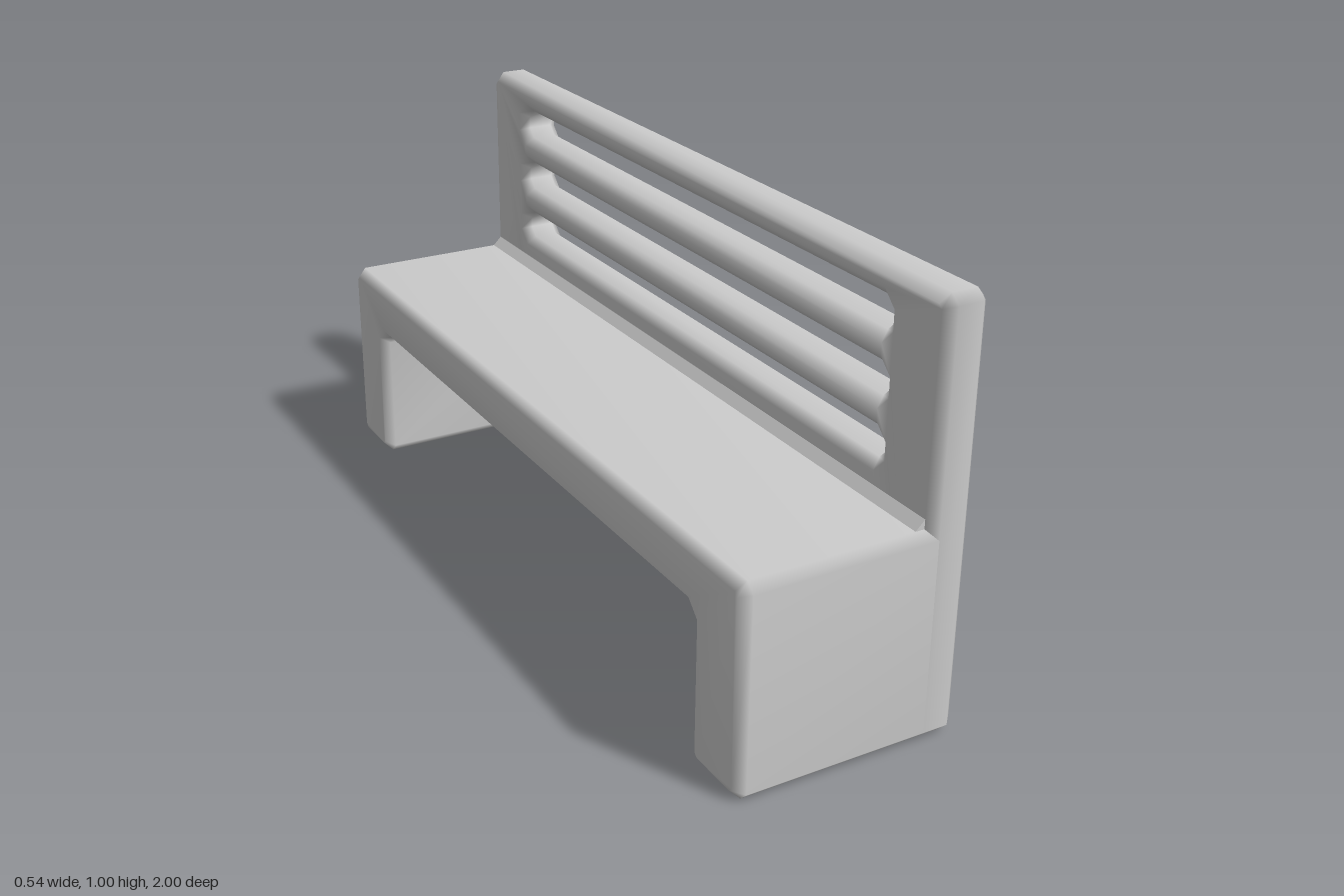
import * as THREE from 'three';
import { mergeVertices } from 'three/addons/utils/BufferGeometryUtils.js';

const C = 0.022; // chamfer size used on every edge
const HALF = 1, LEG = 0.815, UNDER = 0.357;
const BACK = 0.272, FRONT = -0.272, PANEL = 0.167, SEAT_TOP = 0.5;

const material = new THREE.MeshStandardMaterial({ color: 0xcccccc });

// Cuts every corner of a right-angled outline by C
function chamferCorners(corners) {
  const n = corners.length;
  return corners.flatMap((p, i) =>
    [corners[(i + n - 1) % n], corners[(i + 1) % n]].map((q) =>
      p.clone().add(q.clone().sub(p).setLength(C))));
}

const outline = (pairs) => chamferCorners(pairs.map(([u, y]) => new THREE.Vector2(u, y)));

// Upside-down U: two legs joined by a beam, up to the given height
const archShape = (top) => new THREE.Shape(outline([
  [-HALF, 0], [-LEG, 0], [-LEG, UNDER], [LEG, UNDER],
  [LEG, 0], [HALF, 0], [HALF, top], [-HALF, top],
]));

// Chamfered extrusion from x0 to x1 with smooth normals
function slab(name, shape, x0, x1) {
  let geo = new THREE.ExtrudeGeometry(shape, {
    depth: x1 - x0 - 2 * C, bevelThickness: C, bevelSize: C, bevelOffset: -C, bevelSegments: 1,
  });
  geo.translate(0, 0, x0 + C).rotateY(Math.PI / 2);
  geo.deleteAttribute('uv');
  geo.deleteAttribute('normal');
  geo = mergeVertices(geo, 1e-4);
  geo.computeVertexNormals();
  const mesh = new THREE.Mesh(geo, material);
  mesh.name = name;
  return mesh;
}

export function createModel() {
  const bench = new THREE.Group();
  bench.name = 'bench';

  // Seat and legs; the rear end is buried inside the back panel
  bench.add(slab('seatAndLegs', archShape(SEAT_TOP), FRONT, PANEL + 2 * C));

  // Back panel with three slots that leave the rails
  const panel = archShape(1);
  for (const [low, high] of [[0.576, 0.645], [0.715, 0.789], [0.859, 0.933]]) {
    panel.holes.push(new THREE.Path(outline([
      [-LEG, low], [-LEG, high], [LEG, high], [LEG, low],
    ])));
  }
  bench.add(slab('backrest', panel, PANEL, BACK));

  // Sloped strip where the seat meets the backrest
  const strip = new THREE.Shape([
    new THREE.Vector2(PANEL - C, SEAT_TOP),
    new THREE.Vector2(PANEL + 0.005, SEAT_TOP - 0.005),
    new THREE.Vector2(PANEL, SEAT_TOP + C),
  ]);
  const length = 2 * (HALF - C);
  const stripGeo = new THREE.ExtrudeGeometry(strip, { depth: length, bevelEnabled: false });
  stripGeo.translate(0, 0, -length / 2);
  const fillet = new THREE.Mesh(stripGeo, material);
  fillet.name = 'seatFillet';
  bench.add(fillet);

  return bench;
}
